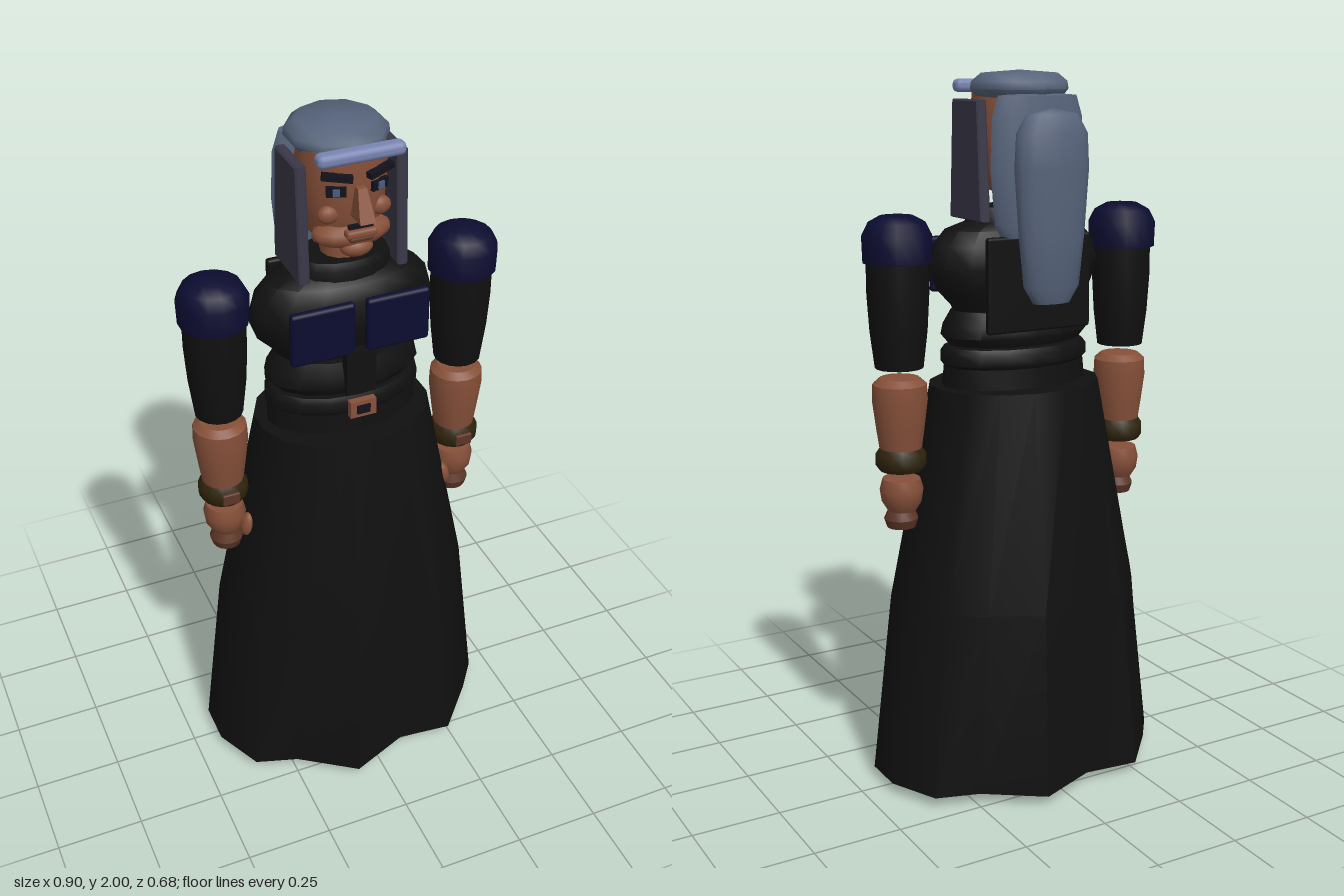
import * as THREE from 'three';
import { toCreasedNormals } from 'three/addons/utils/BufferGeometryUtils.js';
import { RoundedBoxGeometry } from 'three/addons/geometries/RoundedBoxGeometry.js';

const paint = (name, color) => {
  const m = new THREE.MeshStandardMaterial({ color });
  m.name = name;
  return m;
};

export function createModel() {
  const black = paint('black cloth', 0x101010);
  const navy = paint('navy cloth', 0x0c0c30);
  const skin = paint('skin', 0x865039);
  const lipTone = paint('dark skin', 0x5c3526);
  const veil = paint('blue grey veil', 0x56637a);
  const bandTone = paint('pale blue band', 0x7884b0);
  const panelTone = paint('slate panel', 0x393747);
  const bronze = paint('bronze', 0x2e240c);
  const ink = paint('ink', 0x12121c);
  const eyeBlue = paint('eye blue', 0x4a5f80);

  const model = new THREE.Group();
  const add = (name, geo, mat, x = 0, y = 0, z = 0, parent = model) => {
    const mesh = new THREE.Mesh(geo, mat);
    mesh.name = name;
    mesh.position.set(x, y, z);
    parent.add(mesh);
    return mesh;
  };
  // Turned profile of [radius, y] pairs, flattened front to back
  const turned = (profile, depth = 1, sides = 16, crease = 0.7) => {
    const geo = new THREE.LatheGeometry(profile.map(([r, y]) => new THREE.Vector2(r, y)), sides);
    geo.scale(1, 1, depth);
    return toCreasedNormals(geo, crease);
  };
  const box = (w, h, d) => new THREE.BoxGeometry(w, h, d);
  const soft = (w, h, d, r) => new RoundedBoxGeometry(w, h, d, 2, r);
  const ball = (rx, ry, rz) => new THREE.SphereGeometry(1, 14, 10).scale(rx, ry, rz);

  // Skirt: sixteen sides, with folds that deepen toward the hem
  const rows = [[0.03, 0.437, 0.314, 0.035], [0.55, 0.375, 0.29, 0.018], [1.15, 0.25, 0.205, 0]];
  const pos = [], index = [];
  for (const [y, rx, rz, fold] of rows) {
    for (let i = 0; i < 16; i++) {
      const a = ((i + 0.5) / 16) * Math.PI * 2;
      const wave = i % 2 ? fold : -fold;
      pos.push(Math.sin(a) * rx, y, Math.cos(a) * (rz + wave));
    }
  }
  pos.push(0, 0.03, 0, 0, 1.15, 0);
  for (let i = 0; i < 16; i++) {
    const j = (i + 1) % 16;
    for (const b of [0, 16]) index.push(b + i, b + j, b + 16 + j, b + i, b + 16 + j, b + 16 + i);
    index.push(48, j, i, 49, 32 + i, 32 + j);
  }
  const skirt = new THREE.BufferGeometry();
  skirt.setAttribute('position', new THREE.Float32BufferAttribute(pos, 3));
  skirt.setIndex(index);
  add('skirt', toCreasedNormals(skirt, 0.7), black);

  // Torso, waist and belt
  add('chest', turned([[0, 1.34], [0.18, 1.345], [0.2, 1.38], [0.24, 1.42], [0.262, 1.48],
    [0.245, 1.54], [0.21, 1.58], [0.15, 1.6], [0.135, 1.63], [0, 1.635]], 0.5), black);
  add('waistSash', turned([[0, 1.26], [0.2, 1.265], [0.222, 1.29], [0.215, 1.32], [0.19, 1.36], [0, 1.37]], 0.6), black);
  add('belt', turned([[0, 1.205], [0.21, 1.205], [0.222, 1.215], [0.222, 1.245], [0.21, 1.26], [0, 1.26]], 0.62), black);
  add('hips', turned([[0, 1.13], [0.22, 1.13], [0.212, 1.205], [0, 1.21]], 0.62), black);
  add('collar', turned([[0, 1.58], [0.14, 1.58], [0.14, 1.62], [0.125, 1.64], [0, 1.64]], 0.65), black);
  add('frontStrip', box(0.085, 0.13, 0.03), black, 0, 1.335, 0.125);
  add('backPanel', soft(0.32, 0.26, 0.022, 0.008), black, 0, 1.44, -0.133);
  add('buckle', box(0.075, 0.05, 0.02), skin, 0, 1.23, 0.146);
  add('buckleCentre', box(0.038, 0.026, 0.006), ink, 0, 1.23, 0.157);

  // Neck and head
  add('neck', turned([[0.058, 1.6], [0.055, 1.72]], 1, 12), skin);
  add('head', turned([[0, 1.68], [0.065, 1.685], [0.1, 1.72], [0.114, 1.8], [0.12, 1.88],
    [0.115, 1.95], [0, 1.96]], 1, 14), skin);
  add('jaw', ball(0.108, 0.04, 0.06), skin, 0, 1.725, 0.065);
  add('chin', ball(0.045, 0.026, 0.03), skin, 0, 1.695, 0.1);
  add('upperLip', soft(0.085, 0.022, 0.03, 0.008), skin, 0, 1.748, 0.128);
  add('mouth', box(0.065, 0.01, 0.012), ink, 0, 1.765, 0.125);
  add('lowerLip', soft(0.065, 0.014, 0.02, 0.006), lipTone, 0, 1.732, 0.128);

  // Wedge nose, deepest at the tip
  const wedge = new THREE.Shape([[0.1, 1.79], [0.172, 1.79], [0.165, 1.805], [0.135, 1.87], [0.1, 1.87]]
    .map(([z, y]) => new THREE.Vector2(z, y)));
  const nose = new THREE.ExtrudeGeometry(wedge, { depth: 0.04, bevelEnabled: false });
  nose.translate(0, 0, -0.02).rotateY(-Math.PI / 2);
  const np = nose.attributes.position;
  for (let i = 0; i < np.count; i++) np.setX(i, np.getX(i) * (np.getY(i) > 1.83 ? 0.6 : 1));
  nose.computeVertexNormals();
  add('nose', nose, skin);

  // Slate panel at the side of the head, wider at its foot
  const panelShape = new THREE.Shape([[-0.085, 1.61], [0.085, 1.61], [0.068, 1.92], [-0.065, 1.92]]
    .map(([z, y]) => new THREE.Vector2(z, y)));
  const panel = new THREE.ExtrudeGeometry(panelShape, {
    depth: 0.02, bevelSize: 0.004, bevelThickness: 0.005, bevelSegments: 1 });
  panel.translate(0, 0, -0.01).rotateY(-Math.PI / 2);

  for (const s of [1, -1]) {
    const side = s > 0 ? 'left' : 'right';
    add(side + 'Eye', box(0.05, 0.026, 0.012), ink, s * 0.058, 1.86, 0.106).rotation.y = s * 0.35;
    add(side + 'Iris', box(0.018, 0.018, 0.008), eyeBlue, s * 0.06, 1.86, 0.113).rotation.y = s * 0.35;
    const brow = add(side + 'Brow', box(0.078, 0.016, 0.02), ink, s * 0.058, 1.9, 0.112);
    brow.rotation.set(0, s * 0.35, s * 0.12);
    add(side + 'Cheek', ball(0.03, 0.025, 0.02), skin, s * 0.07, 1.79, 0.085);
    add(side + 'VeilPanel', panel, panelTone, s * 0.137);

    // Navy chest plate
    add(side + 'ChestPlate', soft(0.18, 0.155, 0.026, 0.01), navy, s * 0.106, 1.473, 0.128);

    // Arm: shoulder cap, sleeve, forearm, bracelet and hand
    const arm = new THREE.Group();
    arm.name = side + 'Arm';
    arm.position.x = s * 0.357;
    model.add(arm);
    add('shoulderCap', turned([[0, 1.5], [0.094, 1.505], [0.096, 1.575], [0.078, 1.61], [0.045, 1.628], [0, 1.632]], 1, 14, 1),
      navy, 0, 0, 0, arm);
    add('sleeve', turned([[0, 1.22], [0.066, 1.22], [0.078, 1.32], [0.084, 1.42], [0.084, 1.52], [0, 1.52]]),
      black, 0, 0, 0, arm);
    add('forearm', turned([[0, 0.975], [0.056, 0.98], [0.066, 1.05], [0.076, 1.13], [0.074, 1.175], [0.055, 1.192], [0, 1.194]]),
      skin, 0, 0, 0, arm);
    add('bracelet', turned([[0, 0.935], [0.06, 0.935], [0.07, 0.95], [0.07, 0.98], [0.058, 0.998], [0, 0.998]]),
      bronze, 0, 0, 0, arm);
    add('braceletClasp', soft(0.05, 0.035, 0.012, 0.004), lipTone, 0, 0.967, 0.069, arm);
    add('palm', turned([[0, 0.815], [0.04, 0.82], [0.055, 0.845], [0.06, 0.88], [0.052, 0.91], [0, 0.912]], 1.05),
      skin, 0, 0, 0, arm);
    add('fingers', turned([[0, 0.768], [0.04, 0.77], [0.048, 0.795], [0.035, 0.825], [0, 0.83]]),
      lipTone, 0, 0, 0.005, arm);
    add('thumb', ball(0.018, 0.038, 0.022), skin, -s * 0.05, 0.845, 0.045, arm).rotation.z = s * 0.2;

    // Shoe sole
    add(side + 'Shoe', turned([[0, 0], [0.085, 0], [0.09, 0.012], [0.083, 0.028], [0, 0.03]], 1.78),
      black, s * 0.14, 0, 0.05);
  }

  // Veil: cap, brow band, and two layers falling behind
  add('veilCap', turned([[0, 1.925], [0.118, 1.93], [0.135, 1.95], [0.132, 1.97], [0.105, 1.992], [0, 2]], 1.01, 10, 0.9),
    veil, 0, 0, -0.03);
  add('browBand', soft(0.235, 0.036, 0.042, 0.015), bandTone, 0, 1.957, 0.122);
  add('innerVeil', turned([[0, 1.56], [0.11, 1.565], [0.13, 1.6], [0.143, 1.75], [0.138, 1.88], [0.12, 1.935], [0, 1.945]], 0.34, 16, 1),
    veil, 0, 0, -0.125);
  add('outerVeil', turned([[0, 1.39], [0.055, 1.395], [0.083, 1.44], [0.098, 1.58], [0.11, 1.75],
    [0.105, 1.84], [0.075, 1.89], [0, 1.905]], 0.5, 16, 1), veil, 0, 0, -0.2);

  return model;
}
